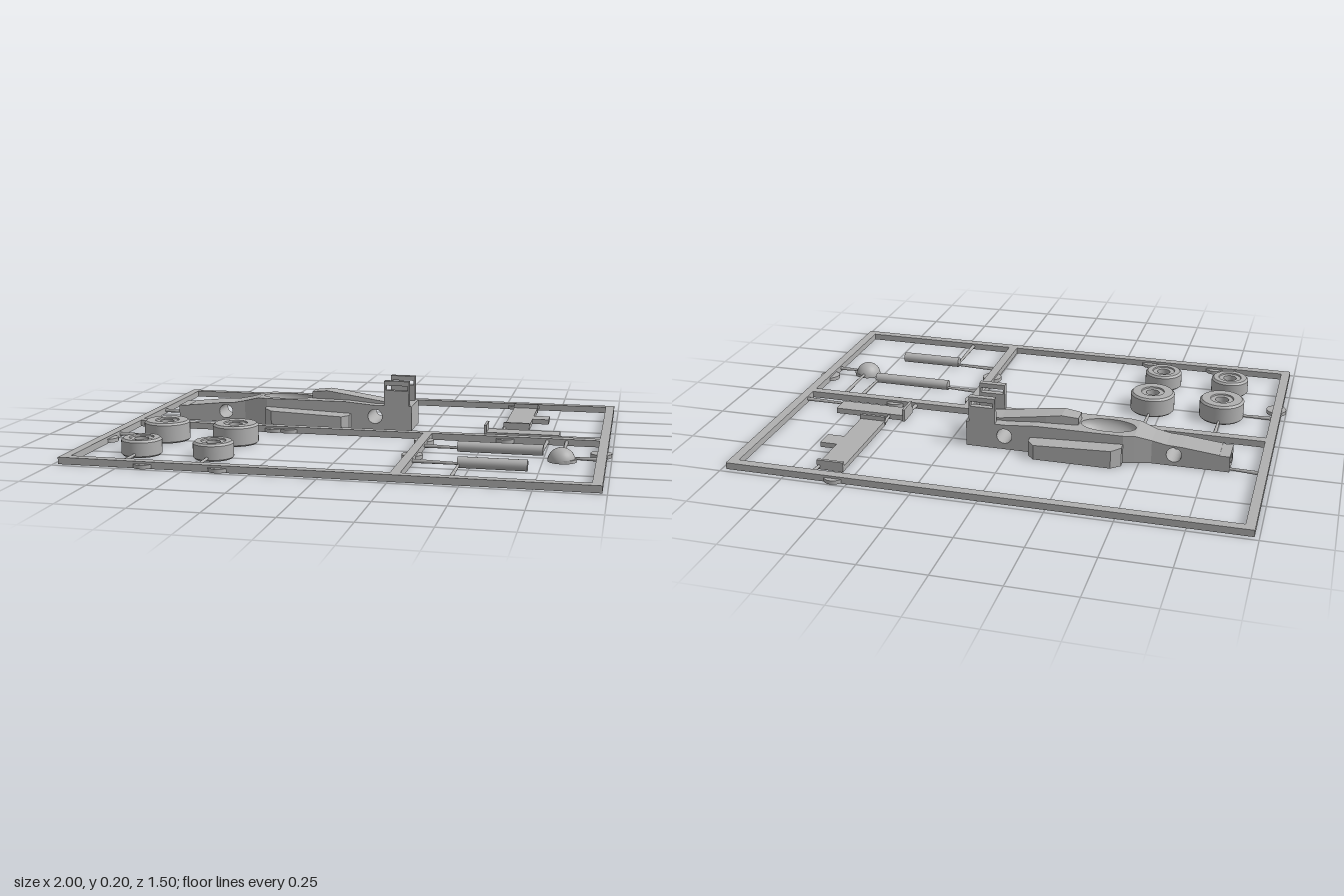
import * as THREE from 'three';

export function createModel() {
  const kit = new THREE.Group();
  kit.name = 'modelKitFrame';
  const grey = new THREE.MeshStandardMaterial({ color: 0xb0b0b0, side: THREE.DoubleSide });
  grey.name = 'grey plastic';

  const add = (name, geo, parent = kit) => {
    const m = new THREE.Mesh(geo, grey);
    m.name = name;
    parent.add(m);
    return m;
  };
  const group = (name) => {
    const g = new THREE.Group();
    g.name = name;
    kit.add(g);
    return g;
  };
  // box given by its limits on each axis
  const box = (name, x0, x1, y0, y1, z0, z1, parent) =>
    add(name, new THREE.BoxGeometry(x1 - x0, y1 - y0, z1 - z0)
      .translate((x0 + x1) / 2, (y0 + y1) / 2, (z0 + z1) / 2), parent);
  const polygon = (pts) => new THREE.Shape(pts.map(([a, b]) => new THREE.Vector2(a, b)));
  const circleHole = (x, y, rx, ry = rx) => new THREE.Path().absellipse(x, y, rx, ry, 0, Math.PI * 2, true);
  // extrude a plan outline (x, z) between two heights
  const plan = (name, shape, y0, y1, parent) =>
    add(name, new THREE.ExtrudeGeometry(shape, { depth: y1 - y0, bevelEnabled: false, curveSegments: 20 })
      .rotateX(Math.PI / 2).translate(0, y1, 0), parent);

  // Frame bars
  const frame = group('frame');
  for (const s of [-1, 1]) {
    box('sideBar', s * 0.965 - 0.018, s * 0.965 + 0.018, 0, 0.026, -0.73, 0.73, frame);
    box('longBar', -0.947, 0.947, 0, 0.026, s * 0.712 - 0.018, s * 0.712 + 0.018, frame);
  }
  box('middleBar', -0.947, 0.947, 0, 0.026, -0.018, 0.018, frame);
  box('crossBar', 0.252, 0.288, 0, 0.026, 0.018, 0.694, frame);

  // Round ejector tabs on the bars
  for (const [x, z] of [[-0.96, 0.325], [0.96, 0.195], [0.555, -0.71], [-0.37, 0], [-0.305, 0], [0.58, 0],
    [0.27, 0.1], [0.27, 0.36], [-0.655, 0.71], [-0.37, 0.71]])
    add('tab', new THREE.CylinderGeometry(0.04, 0.04, 0.015, 24).translate(x, 0.0095, z), frame);

  // Thin runners holding the parts: x0, z0 (at bar), x1, z1 (at part)
  const runners = [[-0.95, -0.272, -0.835, -0.262], [-0.4, -0.015, -0.4, -0.08], [0.65, -0.7, 0.645, -0.625],
    [0.552, -0.215, 0.557, -0.14], [0.487, -0.015, 0.493, -0.07], [0.95, -0.068, 0.78, -0.074],
    [-0.95, 0.235, -0.82, 0.235], [-0.745, 0.015, -0.745, 0.155], [-0.46, 0.015, -0.46, 0.155],
    [-0.46, 0.31, -0.46, 0.7], [-0.745, 0.7, -0.745, 0.57], [0.28, 0.192, 0.43, 0.2],
    [0.745, 0.015, 0.74, 0.2], [0.82, 0.015, 0.82, 0.25], [0.95, 0.285, 0.86, 0.285],
    [0.28, 0.452, 0.47, 0.46], [0.462, 0.7, 0.462, 0.48]];
  for (const [x0, z0, x1, z1] of runners) {
    const len = Math.hypot(x1 - x0, z1 - z0);
    const r = add('runner', new THREE.CylinderGeometry(0.005, 0.008, len, 8).rotateX(Math.PI / 2), frame);
    r.position.set((x0 + x1) / 2, 0.013, (z0 + z1) / 2);
    r.rotation.y = Math.atan2(x1 - x0, z1 - z0);
  }

  // Car body: side profiles extruded across, width varying linearly along x
  const car = group('carBody');
  const C = -0.211;
  const section = (name, pts, x0, x1, w0, w1, hole) => {
    const shape = polygon(pts);
    if (hole) shape.holes.push(circleHole(...hole));
    const geo = new THREE.ExtrudeGeometry(shape, { depth: 1, bevelEnabled: false, curveSegments: 20 });
    const p = geo.attributes.position;
    for (let i = 0; i < p.count; i++) {
      const w = w0 + (w1 - w0) * (p.getX(i) - x0) / (x1 - x0);
      p.setZ(i, C + (p.getZ(i) * 2 - 1) * w);
    }
    geo.computeVertexNormals();
    return add(name, geo, car);
  };
  section('nose', [[-0.8, 0], [-0.545, 0], [-0.545, 0.094], [-0.6, 0.083], [-0.66, 0.08], [-0.8, 0.065]],
    -0.8, -0.545, 0.056, 0.056, [-0.63, 0.045, 0.029]);
  section('noseTaper', [[-0.545, 0], [-0.48, 0], [-0.48, 0.112], [-0.545, 0.094]], -0.545, -0.48, 0.056, 0.073);
  section('rearBody', [[-0.25, 0], [0.178, 0], [0.178, 0.102], [0.02, 0.102], [-0.1, 0.112], [-0.25, 0.112]],
    -0.25, 0.178, 0.083, 0.083, [0.025, 0.055, 0.03]);

  // Nose tip with a slot in its end
  const tip = polygon([[-0.056, 0], [0.056, 0], [0.056, 0.063], [-0.056, 0.063]]);
  tip.holes.push(new THREE.Path([[-0.03, 0.02], [-0.03, 0.045], [0.03, 0.045], [0.03, 0.02]]
    .map(([a, b]) => new THREE.Vector2(a, b))));
  add('noseTip', new THREE.ExtrudeGeometry(tip, { depth: 0.04, bevelEnabled: false })
    .rotateY(Math.PI / 2).translate(-0.84, 0, C), car);

  // Cockpit: solid base, rim with an oval opening, sunken bowl
  const tub = () => polygon([[-0.48, C - 0.073], [-0.44, C - 0.083], [-0.25, C - 0.083],
    [-0.25, C + 0.083], [-0.44, C + 0.083], [-0.48, C + 0.073]]);
  plan('cockpitBase', tub(), 0, 0.05, car);
  const rim = tub();
  rim.holes.push(circleHole(-0.367, C, 0.107, 0.056));
  plan('cockpitRim', rim, 0.05, 0.112, car);
  add('cockpitBowl', new THREE.SphereGeometry(1, 32, 10, 0, Math.PI * 2, Math.PI / 2, Math.PI / 2)
    .scale(0.107, 0.05, 0.056).translate(-0.367, 0.111, C), car);
  add('seatPeg', new THREE.CylinderGeometry(0.018, 0.018, 0.02, 20).translate(-0.367, 0.06, C), car);

  // Engine cover
  section('engineCoverFront', [[-0.255, 0.09], [-0.13, 0.09], [-0.13, 0.139], [-0.19, 0.147], [-0.255, 0.14]],
    -0.255, -0.13, 0.031, 0.042);
  section('engineCoverRear', [[-0.13, 0.09], [0.1, 0.09], [0.1, 0.108], [0.05, 0.112], [-0.13, 0.139]],
    -0.13, 0.1, 0.042, 0.042);

  // Side pods and rear wing supports
  for (const s of [-1, 1]) {
    const pod = plan('sidePod', polygon([[-0.44, C + s * 0.075], [-0.44, C + s * 0.11], [-0.405, C + s * 0.141],
      [-0.105, C + s * 0.141], [-0.078, C + s * 0.112], [-0.078, C + s * 0.075]]), 0, 0.075, car);
    const p = pod.geometry.attributes.position;
    for (let i = 0; i < p.count; i++) // top falls gently rearward and outward
      if (p.getY(i) > 0.05) p.setY(i, 0.068 - 0.04 * (p.getX(i) + 0.26) - 0.1 * (Math.abs(p.getZ(i) - C) - 0.11));
    pod.geometry.computeVertexNormals();

    const plate = polygon([[0.063, 0.09], [0.167, 0.09], [0.167, 0.205], [0.063, 0.205]]);
    plate.holes.push(new THREE.Path([[0.07, 0.166], [0.07, 0.186], [0.16, 0.186], [0.16, 0.166]]
      .map(([a, b]) => new THREE.Vector2(a, b))));
    add('wingSupport', new THREE.ExtrudeGeometry(plate, { depth: 0.024, bevelEnabled: false })
      .translate(0, 0, C + s * 0.071 - 0.012), car);
  }

  // Wheels: hub hole through the middle, hollow ring underneath
  const wheel = (name, x, z, r, h) => {
    const pts = [[0.027, 0], [0.027, h - 0.005], [0.045, h - 0.005], [0.047, h], [r - 0.008, h], [r, h - 0.008],
      [r, 0.006], [r - 0.006, 0], [r - 0.02, 0], [r - 0.02, 0.035], [0.04, 0.035], [0.04, 0], [0.027, 0]];
    // doubled points keep the edges crisp
    const crisp = pts.flatMap(([a, b]) => [new THREE.Vector2(a, b), new THREE.Vector2(a, b)]).slice(1, -1);
    const g = group(name);
    for (let i = 0; i < crisp.length; i += 2)
      add('wheelSurface', new THREE.LatheGeometry([crisp[i + 1], crisp[i]], 36), g);
    g.position.set(x, 0, z);
  };
  for (const x of [-0.745, -0.46]) {
    wheel('rearWheel', x, 0.235, 0.09, 0.08);
    wheel('frontWheel', x, 0.505, 0.077, 0.066);
  }

  // Axles
  for (const [x0, x1, z] of [[0.42, 0.745, 0.208], [0.457, 0.71, 0.47]])
    add('axle', new THREE.CylinderGeometry(0.021, 0.021, x1 - x0, 20)
      .rotateZ(Math.PI / 2).translate((x0 + x1) / 2, 0.021, z));

  // Driver helmet: hollow dome with a visor rim
  const helmet = group('helmet');
  add('dome', new THREE.SphereGeometry(0.052, 28, 12, 0, Math.PI * 2, 0, Math.PI / 2)
    .translate(0.818, 0, 0.285), helmet);
  const rimRing = new THREE.Shape().absarc(0.825, 0.285, 0.05, 0, Math.PI * 2);
  rimRing.holes.push(circleHole(0.825, 0.285, 0.025));
  plan('visorRim', rimRing, 0, 0.012, helmet);

  // Front wing: plate with mounting tab and raised end plates
  const frontWing = group('frontWing');
  plan('wingPlate', polygon([[0.55, -0.63], [0.652, -0.63], [0.652, -0.46], [0.72, -0.46],
    [0.72, -0.385], [0.652, -0.385], [0.652, -0.21], [0.55, -0.21]]), 0, 0.02, frontWing);
  for (const z of [-0.635, -0.206]) box('endPlate', 0.55, 0.655, 0, 0.038, z - 0.006, z + 0.006, frontWing);

  // Rear wing
  const rearWing = group('rearWing');
  box('wingPlate', 0.49, 0.785, 0, 0.022, -0.145, -0.067, rearWing);
  box('endPlate', 0.486, 0.496, 0, 0.052, -0.153, -0.063, rearWing);

  return kit;
}
